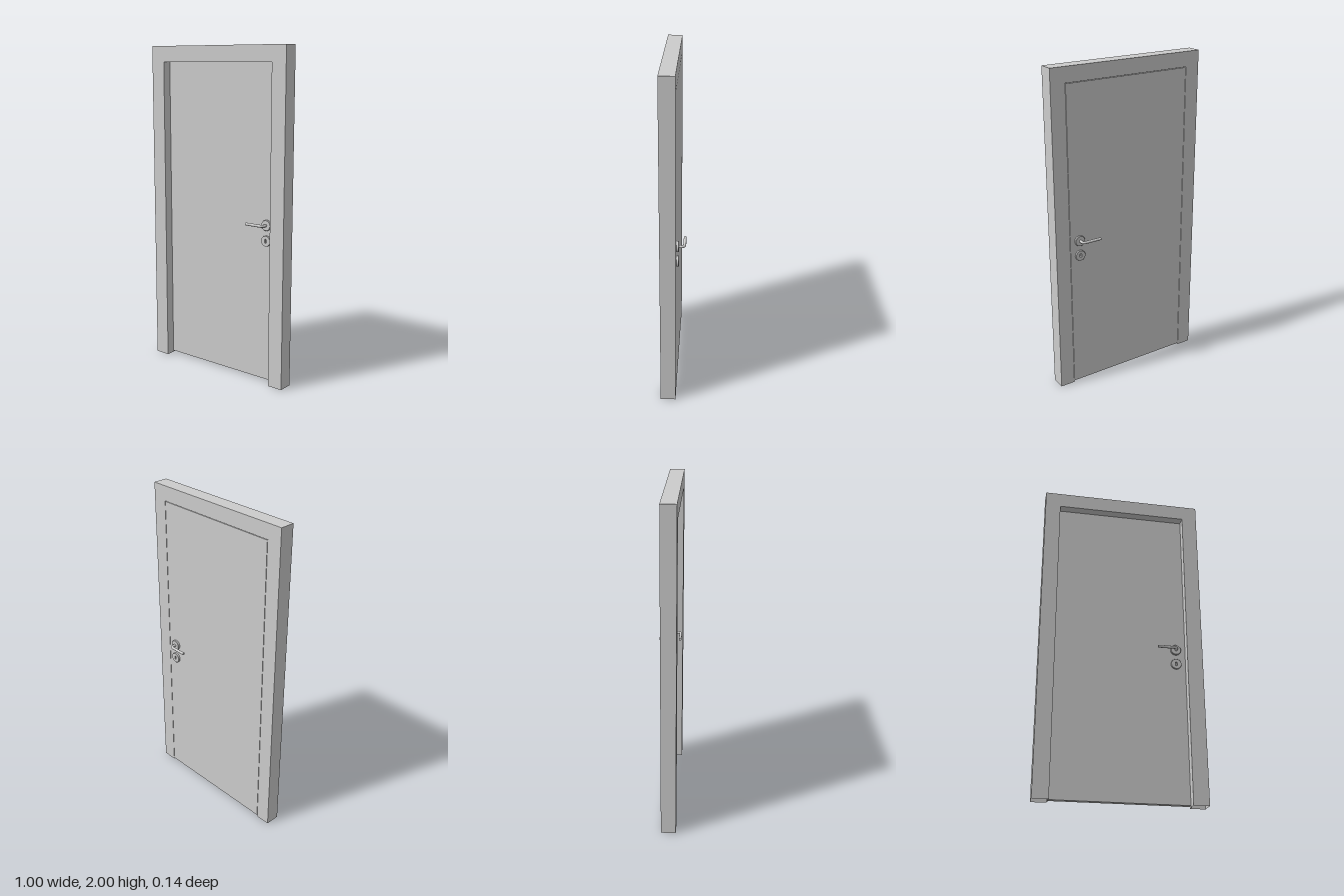
import * as THREE from 'three';

const material = new THREE.MeshStandardMaterial({ color: 0xcccccc });
const openMaterial = new THREE.MeshStandardMaterial({ color: 0xcccccc, side: THREE.DoubleSide });

const DOOR_FRONT = 0.015, DOOR_BACK = -0.019;
const LOCK_X = 0.345, HANDLE_Y = 0.967, KEY_Y = 0.873;

function addMesh(parent, name, geometry, mat = material) {
  const mesh = new THREE.Mesh(geometry, mat);
  mesh.name = name;
  parent.add(mesh);
  return mesh;
}

// Rebated section swept up one jamb, across the head and down the other, with mitred corners
function frameGeometry() {
  const section = [ // inset from the outer edge, z
    [0, 0.071], [0, -0.019], [0.091, -0.019], [0.091, 0.016], [0.095, 0.016], [0.095, 0.071],
  ];
  const station = ([inset, z]) => {
    const x = 0.5 - inset, top = 2 - inset;
    return [[-x, 0, z], [-x, top, z], [x, top, z], [x, 0, z]];
  };
  const positions = [];
  section.forEach((point, i) => {
    const a = station(point), b = station(section[(i + 1) % section.length]);
    for (let s = 0; s < 3; s++) {
      for (const p of [a[s], a[s + 1], b[s + 1], a[s], b[s + 1], b[s]]) positions.push(...p);
    }
  });
  const geometry = new THREE.BufferGeometry();
  geometry.setAttribute('position', new THREE.Float32BufferAttribute(positions, 3));
  geometry.computeVertexNormals();
  return geometry;
}

// Round plate with a rounded slot through it
function keyPlateGeometry() {
  const shape = new THREE.Shape().absarc(0, 0, 0.031, 0, Math.PI * 2);
  const slot = new THREE.Path();
  slot.absarc(0, 0.007, 0.006, 0, Math.PI);
  slot.absarc(0, -0.007, 0.006, Math.PI, Math.PI * 2);
  slot.closePath();
  shape.holes.push(slot);
  return new THREE.ExtrudeGeometry(shape, {
    depth: 0.011, curveSegments: 16, bevelEnabled: true,
    bevelThickness: 0.001, bevelSize: 0.001, bevelSegments: 1,
  });
}

// Lever, rose and key plate, projecting along +z from the door face
function createHandleSet(name) {
  const set = new THREE.Group();
  set.name = name;

  const roseProfile = [[0, 0], [0.032, 0], [0.032, 0], [0.032, 0.011], [0.032, 0.011],
    [0.03, 0.013], [0.03, 0.013], [0, 0.013]].map(([r, y]) => new THREE.Vector2(r, y));
  const rose = addMesh(set, 'handleRose', new THREE.LatheGeometry(roseProfile, 32));
  rose.rotation.x = Math.PI / 2;
  rose.position.set(LOCK_X, HANDLE_Y, 0);

  const point = (x, z) => new THREE.Vector3(x, HANDLE_Y, z);
  const path = new THREE.CurvePath();
  path.add(new THREE.LineCurve3(point(LOCK_X, 0.005), point(LOCK_X, 0.026)));
  path.add(new THREE.QuadraticBezierCurve3(point(LOCK_X, 0.026), point(LOCK_X, 0.0455), point(LOCK_X - 0.02, 0.0455)));
  path.add(new THREE.LineCurve3(point(LOCK_X - 0.02, 0.0455), point(0.225, 0.0455)));
  addMesh(set, 'lever', new THREE.TubeGeometry(path, 48, 0.0085, 16));

  const cap = addMesh(set, 'leverEnd', new THREE.CircleGeometry(0.0085, 16));
  cap.rotation.y = -Math.PI / 2;
  cap.position.set(0.225, HANDLE_Y, 0.0455);

  const plate = addMesh(set, 'keyPlate', keyPlateGeometry());
  plate.position.set(LOCK_X, KEY_Y, 0.001);
  return set;
}

export function createModel() {
  const model = new THREE.Group();
  model.name = 'door';

  addMesh(model, 'doorFrame', frameGeometry(), openMaterial);

  // Leaf sits in the rebate, flush with the back and clear of the floor
  const leaf = addMesh(model, 'doorLeaf', new THREE.BoxGeometry(0.812, 1.896, DOOR_FRONT - DOOR_BACK));
  leaf.position.set(0, 0.01 + 0.948, (DOOR_FRONT + DOOR_BACK) / 2);

  const front = createHandleSet('frontHandle');
  front.position.z = DOOR_FRONT;
  // Back set is mirrored through the leaf
  const back = createHandleSet('backHandle');
  back.scale.z = -1;
  back.position.z = DOOR_BACK;
  model.add(front, back);
  return model;
}
